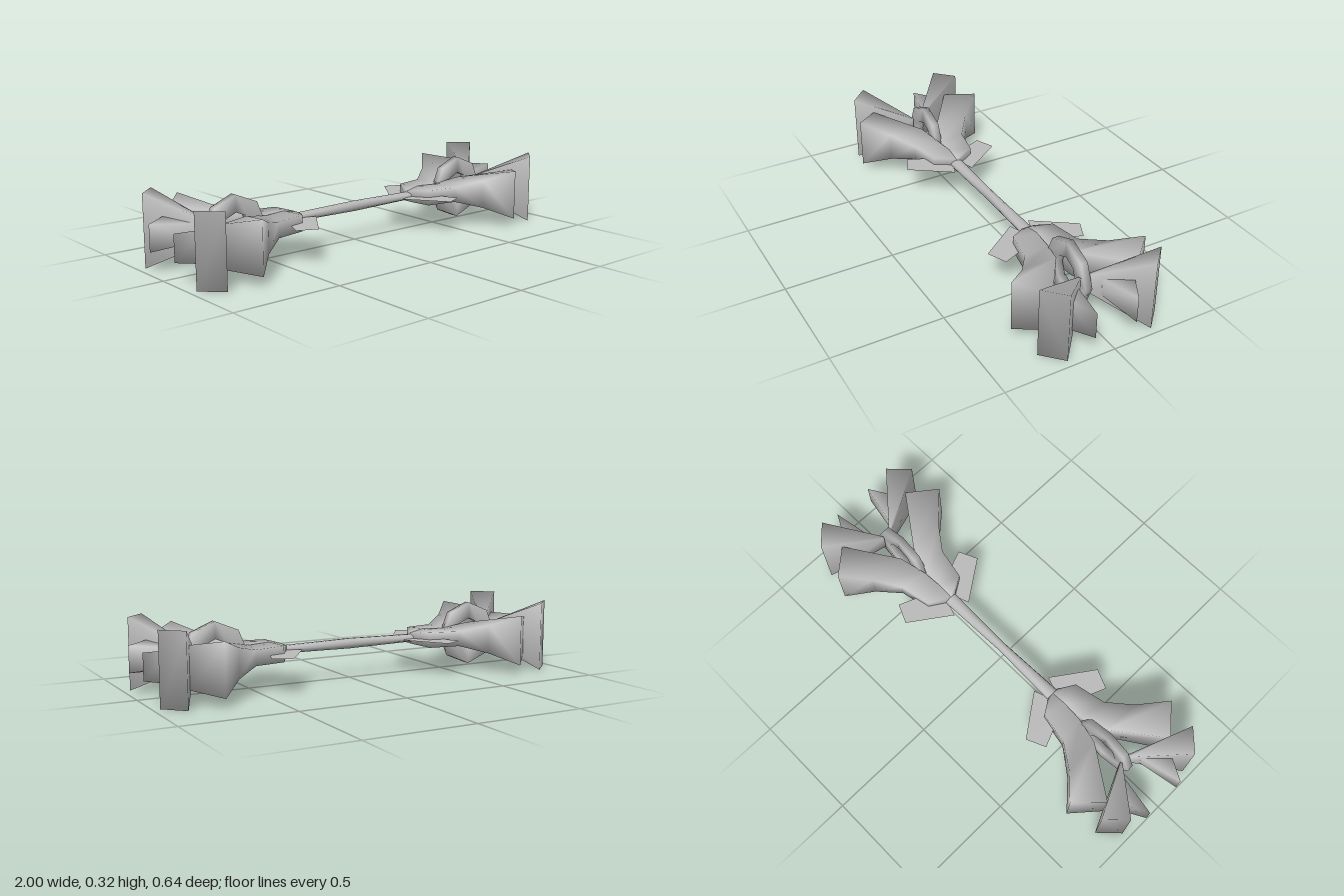
import * as THREE from 'three';
import { mergeVertices } from 'three/addons/utils/BufferGeometryUtils.js';

const MID = 0.158; // height of the shaft axis

// Shares corners between faces so the shading runs smoothly round every part
function smooth(geometry) {
  geometry.deleteAttribute('normal');
  geometry.deleteAttribute('uv');
  const g = mergeVertices(geometry, 1e-4);
  g.computeVertexNormals();
  return g;
}

// Lofts four-cornered sections. Each section is [outer, inner], each edge [x, z, halfHeight].
// sx and sz mirror the result into any of the four quarters.
function loft(sections, mid, sx, sz) {
  const rings = sections.map(([o, i]) => [
    [o[0] * sx, mid + o[2], o[1] * sz], [o[0] * sx, mid - o[2], o[1] * sz],
    [i[0] * sx, mid - i[2], i[1] * sz], [i[0] * sx, mid + i[2], i[1] * sz],
  ]);
  const pos = [];
  const quad = (a, b, c, d) => {
    if (sx * sz < 0) pos.push(...a, ...c, ...b, ...a, ...d, ...c);
    else pos.push(...a, ...b, ...c, ...a, ...c, ...d);
  };
  for (let s = 0; s < rings.length - 1; s++) {
    for (let k = 0; k < 4; k++) {
      const n = (k + 1) % 4;
      quad(rings[s][k], rings[s][n], rings[s + 1][n], rings[s + 1][k]);
    }
  }
  const [a, b, c, d] = rings[0];
  quad(d, c, b, a);
  quad(...rings[rings.length - 1]);
  const g = new THREE.BufferGeometry();
  g.setAttribute('position', new THREE.Float32BufferAttribute(pos, 3));
  return smooth(g);
}

export function createModel() {
  const model = new THREE.Group();
  model.name = 'doubleEndedStaff';
  const steel = new THREE.MeshStandardMaterial({ color: 0xbababa, side: THREE.DoubleSide });
  steel.name = 'grey steel';
  const add = (name, geometry, parent = model) => {
    const mesh = new THREE.Mesh(geometry, steel);
    mesh.name = name;
    parent.add(mesh);
    return mesh;
  };

  // Shaft: thickest upright in the middle, widening sideways toward the heads
  const shaft = new THREE.CylinderGeometry(1, 1, 0.72, 10, 4, true).rotateZ(Math.PI / 2);
  const p = shaft.attributes.position;
  for (let i = 0; i < p.count; i++) {
    const t = Math.abs(p.getX(i)) / 0.36;
    p.setY(i, MID + p.getY(i) * (0.024 - 0.007 * t));
    p.setZ(i, p.getZ(i) * (0.021 + 0.011 * t));
  }
  add('shaft', smooth(shaft));

  // Half of a head: collar that curves outward into a flaring claw
  const claw = [
    [[0.33, 0.03, 0.025], [0.33, 0, 0.025]],
    [[0.375, 0.1, 0.036], [0.4, 0, 0.04]],
    [[0.52, 0.13, 0.035], [0.5, 0.005, 0.035]],
    [[0.63, 0.21, 0.066], [0.62, 0.04, 0.06]],
    [[0.735, 0.32, 0.116], [0.845, 0.2, 0.092]],
  ];
  // Tall flared wedge growing from the ring
  const wedge = [
    [[0.757, 0.022, 0.042], [0.768, 0.018, 0.042]],
    [[0.88, 0.285, 0.16], [0.968, 0.2, 0.16]],
  ];
  // Small spike beside the wedge
  const spike = [
    [[0.775, 0.055, 0.036], [0.78, 0.051, 0.036]],
    [[0.89, 0.155, 0.071], [1.0, 0.097, 0.059]],
  ];

  // Eight-sided ring between the claws
  const octagon = (Type, r) => {
    const pts = [];
    for (let i = 0; i < 8; i++) {
      const a = (i * Math.PI) / 4;
      pts.push(new THREE.Vector2(Math.cos(a) * r, Math.sin(a) * r));
    }
    return new Type(pts);
  };
  const ringShape = octagon(THREE.Shape, 0.149);
  ringShape.holes.push(octagon(THREE.Path, 0.073));
  const ringGeo = smooth(
    new THREE.ExtrudeGeometry(ringShape, { depth: 0.033, bevelEnabled: false }).translate(0, MID, -0.0165));

  for (const sx of [1, -1]) {
    const head = new THREE.Group();
    head.name = sx > 0 ? 'leftHead' : 'rightHead';
    model.add(head);
    add('ring', ringGeo, head).position.x = 0.655 * sx;

    for (const sz of [1, -1]) {
      add('claw', loft(claw, 0.156, sx, sz), head);
      add('flaredWedge', loft(wedge, 0.16, sx, sz), head);
      add('spike', loft(spike, 0.156, sx, sz), head);

      // Flat swept guard plate
      const guard = new THREE.Shape([[0.258, 0.045], [0.33, 0.02], [0.42, 0.05], [0.478, 0.193], [0.39, 0.232]]
        .map(([x, z]) => new THREE.Vector2(x * sx, z * sz)));
      add('guardPlate', new THREE.ShapeGeometry(guard).rotateX(-Math.PI / 2).translate(0, MID, 0), head);
    }
  }
  return model;
}
